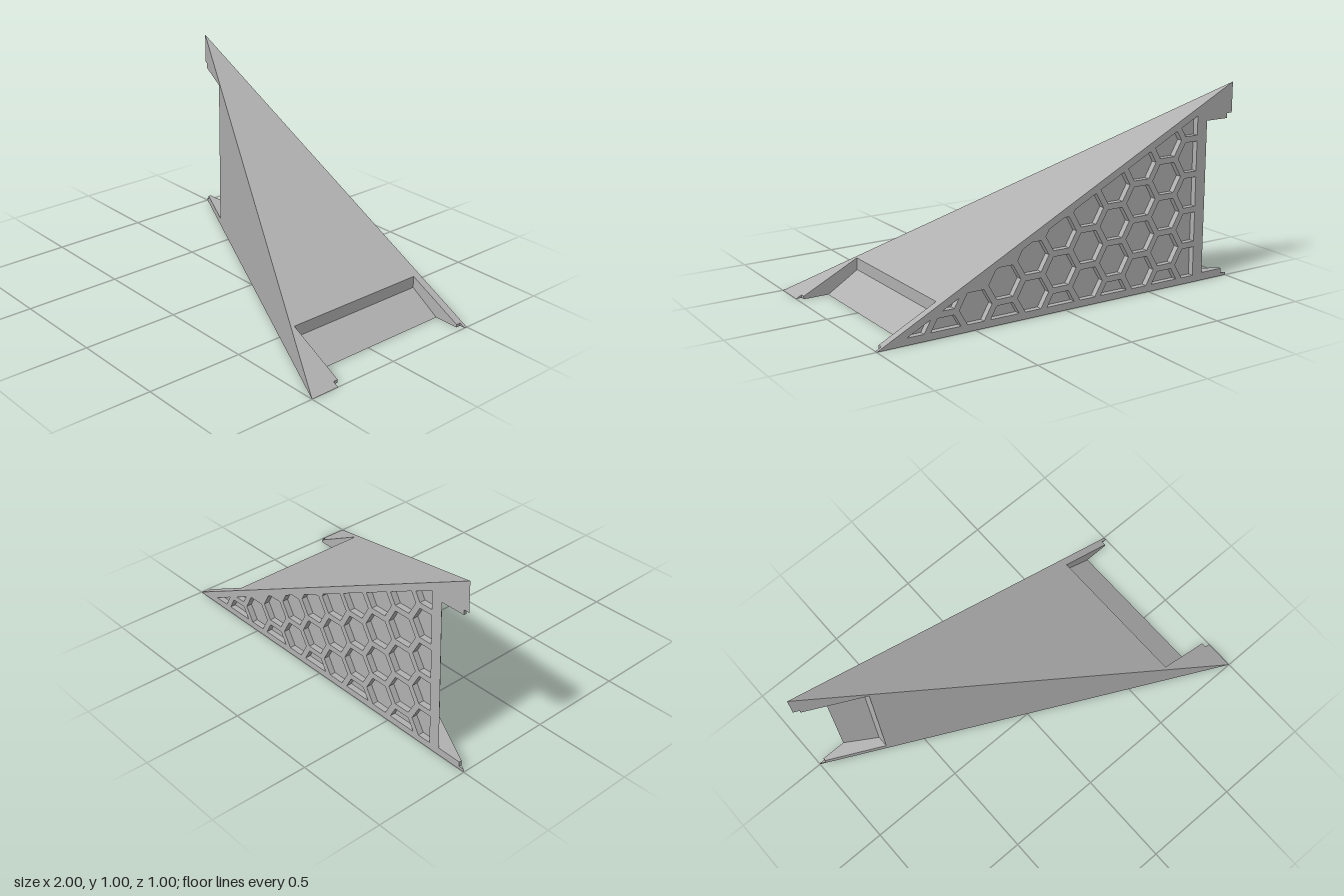
import * as THREE from 'three';
import { mergeGeometries } from 'three/addons/utils/BufferGeometryUtils.js';

const BACK = -0.5, POCKET = 0.03;
const vectors = (pts) => pts.map(([a, b]) => new THREE.Vector2(a, b));

// Flat face from a 2D outline, laid into space by a mapping rule
function face(outline, map, flip = false, holes = []) {
  const shape = new THREE.Shape(vectors(outline));
  shape.holes = holes.map((h) => new THREE.Path(vectors(h)));
  const geo = new THREE.ShapeGeometry(shape);
  const pos = geo.attributes.position;
  for (let i = 0; i < pos.count; i++) pos.setXYZ(i, ...map(pos.getX(i), pos.getY(i)));
  if (flip) geo.setIndex(Array.from(geo.index.array).reverse());
  const flat = geo.toNonIndexed();
  flat.deleteAttribute('uv');
  flat.computeVertexNormals();
  return flat;
}

// Upright rectangle above a line in plan, from y0 to y1
function strip([xa, za], [xb, zb], y0, y1) {
  return face([[0, y0], [1, y0], [1, y1], [0, y1]],
    (t, y) => [xa + (xb - xa) * t, y, za + (zb - za) * t]);
}

// Keep the part of a convex polygon where a*x + b*y >= c
function clip(poly, [a, b, c]) {
  const out = [];
  poly.forEach((p, i) => {
    const q = poly[(i + 1) % poly.length];
    const dp = a * p[0] + b * p[1] - c, dq = a * q[0] + b * q[1] - c;
    if (dp >= 0) out.push(p);
    if (dp * dq < 0) {
      const t = dp / (dp - dq);
      out.push([p[0] + (q[0] - p[0]) * t, p[1] + (q[1] - p[1]) * t]);
    }
  });
  return out;
}

// Honeycomb cells trimmed to the border of the triangular panel
function honeycomb() {
  const pitch = 0.18, radius = 0.075 / Math.cos(Math.PI / 6), cells = [];
  const slope = Math.hypot(0.5, 1);
  const limits = [[1, 0, -0.78], [0, 1, 0.035], [-0.5, -1, -0.5 + 0.035 * slope]];
  for (let col = 0; col < 11; col++) {
    for (let row = -1; row < 6; row++) {
      const cx = -0.75 + col * pitch * Math.sqrt(3) / 2;
      const cy = 0.11 + (row + (col % 2) / 2) * pitch;
      let cell = Array.from({ length: 6 }, (_, k) =>
        [cx + radius * Math.cos(k * Math.PI / 3), cy + radius * Math.sin(k * Math.PI / 3)]);
      for (const limit of limits) cell = clip(cell, limit);
      if (cell.length > 2 && THREE.ShapeUtils.area(vectors(cell)) > 0.0012) cells.push(cell);
    }
  }
  return cells;
}

// Sides and floor of one recessed cell
function pocket(cell) {
  const floor = BACK + POCKET;
  const parts = [face(cell, (x, y) => [x, y, floor], true)];
  cell.forEach((p, i) => {
    const q = cell[(i + 1) % cell.length];
    parts.push(face([[0, 0], [1, 0], [1, 1], [0, 1]],
      (t, d) => [p[0] + (q[0] - p[0]) * t, p[1] + (q[1] - p[1]) * t, BACK + POCKET * d], true));
  });
  return parts;
}

// Triangle outline with a stepped notch reaching in to x = depth
const outline = (depth) => [
  [-1, 1], [-1, 0.845], [-0.97, 0.845], [-0.97, 0.82], [depth, 0.82], [depth, 0.04],
  [-0.97, 0.04], [-0.97, 0.015], [-1, 0.015], [-1, 0], [1, 0],
];

// One half: honeycomb panel, the sloping face opposite it, and the notch between
function buildHalf(material) {
  const half = new THREE.Group();
  const add = (name, parts) => {
    const mesh = new THREE.Mesh(mergeGeometries(parts), material);
    mesh.name = name;
    half.add(mesh);
  };
  const cells = honeycomb();
  add('slopingFace', [face(outline(-0.68), (x, y) => [x, y, x / 2])]);
  add('honeycombPanel', [face(outline(-0.84), (x, y) => [x, y, BACK], true, cells)]);
  add('honeycombPockets', cells.flatMap(pocket));

  const side = [[-0.97, -0.5], [-0.84, -0.5], [-0.68, -0.4], [-0.68, -0.34], [-0.97, -0.485]];
  const step = [[-1, -0.5], [-0.97, -0.5], [-0.97, -0.485]];
  const level = (pts, y, flip) => face(pts, (x, z) => [x, y, z], flip);
  add('notch', [
    strip([-0.84, -0.5], [-0.68, -0.4], 0.04, 0.82),
    strip([-0.68, -0.4], [-0.68, -0.34], 0.04, 0.82),
    level(side, 0.82, false), level(side, 0.04, true),
    level(step, 0.845, false), level(step, 0.015, true),
    strip([-0.97, -0.5], [-0.97, -0.485], 0.82, 0.845),
    strip([-0.97, -0.5], [-0.97, -0.485], 0.015, 0.04),
  ]);
  return half;
}

export function createModel() {
  const grey = new THREE.MeshStandardMaterial({ color: 0xb0b0b0, side: THREE.DoubleSide });
  grey.name = 'grey';
  const model = new THREE.Group();
  model.name = 'cornerWedge';

  const backHalf = buildHalf(grey);
  backHalf.name = 'backHalf';

  // The same half turned over forms the underside and the top slope
  const bottomHalf = buildHalf(grey);
  bottomHalf.name = 'bottomHalf';
  bottomHalf.quaternion.setFromAxisAngle(new THREE.Vector3(0, 1, 1).normalize(), Math.PI);
  bottomHalf.position.set(0, 0.5, -0.5);

  model.add(backHalf, bottomHalf);
  return model;
}
